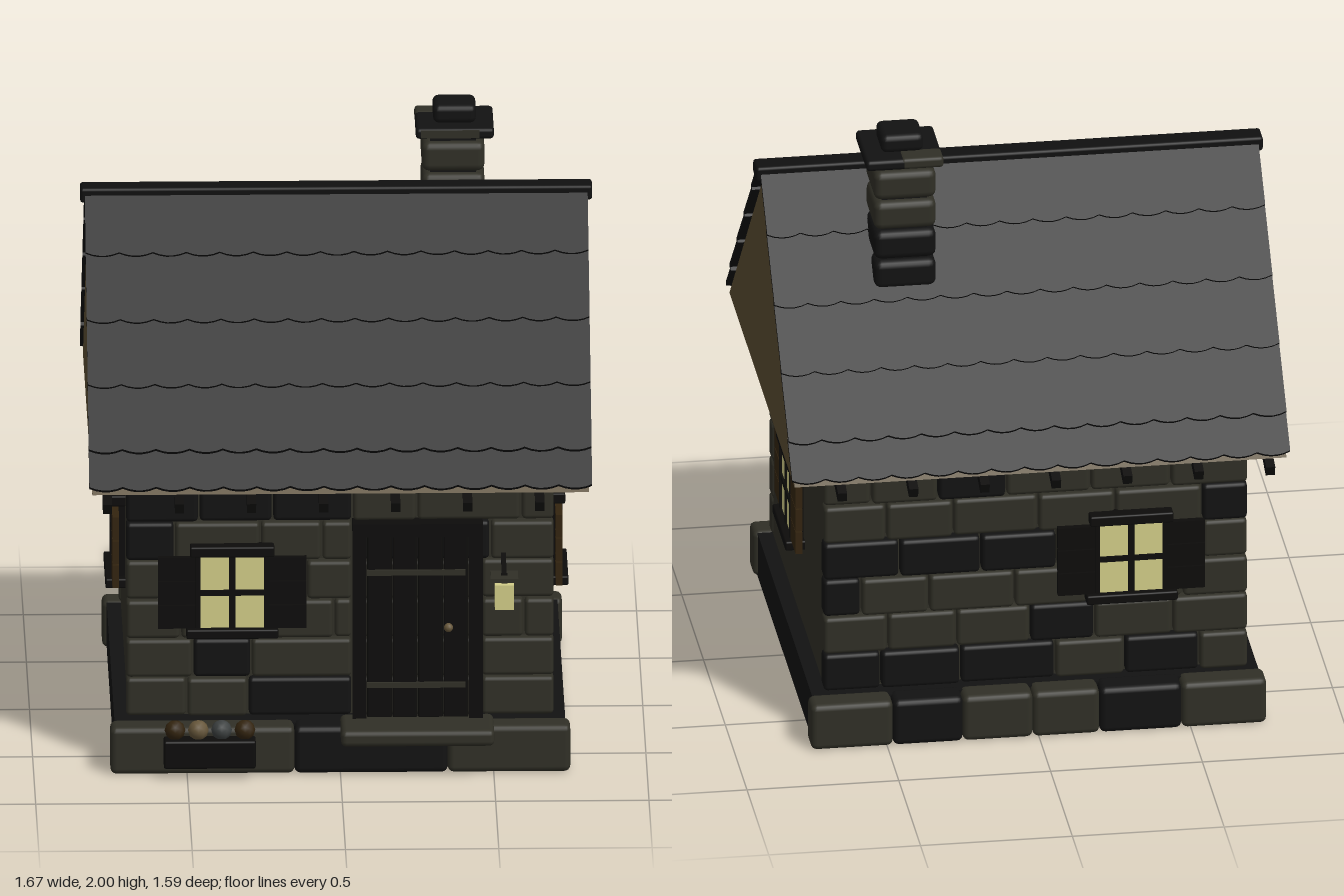
import * as THREE from 'three';
import { RoundedBoxGeometry } from 'three/addons/geometries/RoundedBoxGeometry.js';

const mat = (name, color) => {
  const m = new THREE.MeshStandardMaterial({ color });
  m.name = name;
  return m;
};

export function createModel() {
  const stone = mat('olive stone', 0x302f26);
  const darkStone = mat('dark stone', 0x121212);
  const tile = mat('roof tile', 0x101010);
  const plaster = mat('gable plaster', 0x5a4c31);
  const darkWood = mat('dark wood', 0x0d0c0b);
  const brown = mat('brown wood', 0x33240f);
  const glow = mat('warm glass', 0xd2cd88);
  const tan = mat('tan', 0x66563a);
  const grey = mat('grey', 0x3c4040);

  const root = new THREE.Group();
  root.name = 'cottage';
  const house = new THREE.Group();
  house.name = 'house';
  house.position.z = -0.02;
  root.add(house);

  let seed = 7;
  const rand = () => (seed = (seed * 16807) % 2147483647) / 2147483647;

  function add(parent, name, geo, material, x = 0, y = 0, z = 0) {
    const m = new THREE.Mesh(geo, material);
    m.name = name;
    m.position.set(x, y, z);
    parent.add(m);
    return m;
  }
  const box = (p, name, w, h, d, m, x, y, z) => add(p, name, new THREE.BoxGeometry(w, h, d), m, x, y, z);
  const block = (p, name, w, h, d, m, x, y, z, r = 0.014) =>
    add(p, name, new RoundedBoxGeometry(w, h, d, 2, r), m, x, y, z);

  // Foundation slab with rows of rounded stones front and back
  box(house, 'foundationCore', 1.47, 0.155, 1.3, darkStone, 0, 0.0775, 0);
  function foundationRow(name, edges, dark, z) {
    for (let i = 0; i < edges.length - 1; i++) {
      const w = edges[i + 1] - edges[i];
      block(house, name, w, 0.16, 0.1, dark.includes(i) ? darkStone : stone, edges[i] + w / 2, 0.08, z, 0.02);
    }
  }
  foundationRow('frontFoundationStone', [-0.75, -0.15, 0.35, 0.75], [1], 0.67);
  foundationRow('backFoundationStone', [-0.75, -0.47, -0.2, 0.02, 0.25, 0.48, 0.75], [1, 4], -0.67);

  // Wall core and stone courses, [x edges, dark stones] from the bottom up
  box(house, 'wallCore', 1.38, 0.8, 1.2, stone, 0, 0.57, 0);
  function course(name, edges, dark, row, z) {
    for (let i = 0; i < edges.length - 1; i++) {
      const w = edges[i + 1] - edges[i];
      block(house, name, w - 0.006, 0.129, 0.07, dark(i) ? darkStone : stone,
        edges[i] + w / 2, 0.237 + row * 0.1333, z + (rand() - 0.5) * 0.012);
    }
  }
  const frontCourses = [
    [[-0.7, -0.5, -0.3, 0.04, 0.46, 0.7], [2]],
    [[-0.7, -0.48, -0.29, 0.04, 0.46, 0.7], [1]],
    [[-0.7, -0.52, -0.22, -0.02, 0.04, 0.46, 0.6, 0.7], []],
    [[-0.7, -0.58, -0.36, -0.11, 0.04, 0.46, 0.7], []],
    [[-0.7, -0.54, -0.26, -0.06, 0.04, 0.49, 0.7], [0, 4]],
    [[-0.7, -0.46, -0.22, 0.04, 0.25, 0.59, 0.7], [0, 1, 2]],
  ];
  frontCourses.forEach(([edges, dark], r) => course('frontWallStone', edges, i => dark.includes(i), r, 0.6));
  for (let r = 0; r < 6; r++) {
    const edges = [-0.7];
    let x = -0.7 + 0.12 + rand() * 0.14;
    while (x < 0.58) {
      edges.push(x);
      x += 0.19 + rand() * 0.13;
    }
    edges.push(0.7);
    course('backWallStone', edges, () => rand() < 0.35, r, -0.605);
  }

  // Gable prism under the roof
  const tri = new THREE.Shape([[-0.75, 0.97], [0.75, 0.97], [0, 1.72]].map(p => new THREE.Vector2(...p)));
  const gable = add(house, 'gable', new THREE.ExtrudeGeometry(tri, { depth: 1.62, bevelEnabled: false }), plaster, -0.81);
  gable.rotation.y = Math.PI / 2;

  // Overlapping scalloped tile rows on both slopes
  const slope = Math.atan2(0.785, 0.75);
  function tileRow(length) {
    const n = 15, half = 0.82, step = (2 * half) / n;
    const s = new THREE.Shape();
    s.moveTo(-half, 0.012);
    for (let i = 0; i < n; i++) {
      const x = -half + i * step;
      s.quadraticCurveTo(x + step / 2, -0.014, x + step, 0.012);
    }
    s.lineTo(half, length);
    s.lineTo(-half, length);
    return new THREE.ExtrudeGeometry(s, { depth: 0.013, bevelEnabled: false, curveSegments: 5 });
  }
  const rowY = [0.985, 1.08, 1.25, 1.42, 1.595, 1.77];
  for (const side of [0, Math.PI]) {
    const half = new THREE.Group();
    half.name = side ? 'backRoof' : 'frontRoof';
    half.rotation.y = side;
    house.add(half);
    for (let i = 0; i < 5; i++) {
      const len = (rowY[i + 1] - rowY[i]) / Math.sin(slope) + (i < 4 ? 0.03 : 0);
      const z = 0.765 - (rowY[i] - 0.985) / Math.tan(slope);
      const lift = i ? 0.008 : 0;
      const row = add(half, 'tileRow', tileRow(len), tile, 0, rowY[i] + lift, z + lift);
      row.rotation.x = slope - Math.PI / 2 - 0.04;
    }
    // Rafter tails below the eaves
    for (let i = 0; i < 7; i++) {
      const t = box(half, 'rafterTail', 0.03, 0.035, 0.16, darkWood, (side ? -1 : 1) * (-0.76 + i * 0.235), 0.94, 0.655);
      t.rotation.x = 0.32;
    }
  }
  block(house, 'ridge', 1.67, 0.05, 0.08, tile, 0, 1.765, 0, 0.01);

  // Chimney of stacked stones with cap
  const chimney = new THREE.Group();
  chimney.name = 'chimney';
  chimney.position.set(0.385, 0, -0.232);
  house.add(chimney);
  [darkStone, darkStone, darkStone, stone, stone].forEach((m, i) =>
    block(chimney, 'chimneyStone', 0.205, 0.1, 0.205, m, 0, 1.405 + i * 0.107, 0, 0.025));
  box(chimney, 'chimneyCore', 0.15, 0.6, 0.15, darkStone, 0, 1.63, 0);
  block(chimney, 'chimneyCap', 0.255, 0.036, 0.255, darkStone, 0.005, 1.922, 0, 0.012);
  box(chimney, 'capFrontStone', 0.19, 0.026, 0.006, stone, -0.01, 1.922, 0.127);
  block(chimney, 'capCornerStone', 0.14, 0.038, 0.08, stone, -0.053, 1.923, -0.088, 0.012);
  block(chimney, 'chimneyPot', 0.14, 0.062, 0.14, darkStone, 0.005, 1.969, 0, 0.02);

  // Window with four panes, lintel, sill and plank shutters
  function addWindow(name, x, z, turn, shutterMat) {
    const g = new THREE.Group();
    g.name = name;
    g.position.set(x, 0.607, z);
    g.rotation.y = turn;
    house.add(g);
    box(g, 'frame', 0.225, 0.27, 0.05, darkWood, 0, 0, 0.005);
    for (const sx of [-1, 1]) {
      for (const sy of [-1, 1])
        box(g, 'pane', 0.092, 0.112, 0.006, glow, sx * 0.057, sy * 0.066, 0.031);
      for (let i = -1; i <= 1; i++)
        box(g, 'shutterPlank', 0.122, 0.078, 0.022, shutterMat, sx * 0.181, i * 0.082, 0.028);
      box(g, 'jamb', 0.014, 0.25, 0.04, darkWood, sx * 0.112, 0, 0.022);
    }
    box(g, 'mullion', 0.02, 0.25, 0.02, darkWood, 0, 0, 0.03);
    box(g, 'glazingBar', 0.21, 0.018, 0.02, darkWood, 0, 0, 0.03);
    block(g, 'lintel', 0.275, 0.036, 0.06, darkWood, 0, 0.142, 0.02, 0.006);
    block(g, 'sill', 0.3, 0.032, 0.07, darkWood, 0, -0.136, 0.025, 0.006);
  }
  addWindow('frontWindow', -0.352, 0.635, 0, darkWood);
  addWindow('backWindow', -0.31, -0.64, Math.PI, darkWood);
  addWindow('leftWindow', 0.695, 0, Math.PI / 2, brown);
  addWindow('rightWindow', -0.695, 0, -Math.PI / 2, brown);

  // Door
  const door = new THREE.Group();
  door.name = 'door';
  door.position.set(0.253, 0, 0.645);
  house.add(door);
  for (const s of [-1, 1]) box(door, 'doorPost', 0.045, 0.67, 0.06, darkWood, s * 0.19, 0.505, 0.005);
  box(door, 'doorLintel', 0.425, 0.045, 0.07, darkWood, 0, 0.82, 0.005);
  for (let i = 0; i < 4; i++)
    block(door, 'doorPlank', 0.081, 0.63, 0.04, darkWood, -0.1245 + i * 0.083, 0.487, 0, 0.006);
  for (const y of [0.672, 0.287]) box(door, 'strap', 0.32, 0.018, 0.01, stone, -0.005, y, 0.024);
  add(door, 'handle', new THREE.SphereGeometry(0.015, 10, 8), tan, 0.1, 0.485, 0.032);
  block(house, 'doorstep', 0.5, 0.055, 0.2, stone, 0.25, 0.148, 0.72, 0.018);

  // Hanging lantern on a bracket
  const lantern = new THREE.Group();
  lantern.name = 'lantern';
  lantern.position.set(0.533, 0, 0.775);
  house.add(lantern);
  box(lantern, 'lanternGlass', 0.062, 0.085, 0.062, glow, 0, 0.628, 0);
  box(lantern, 'lanternLid', 0.09, 0.014, 0.09, stone, 0, 0.69, 0);
  box(lantern, 'lanternNeck', 0.02, 0.03, 0.02, darkWood, 0, 0.685, 0);
  const arm = box(lantern, 'bracket', 0.016, 0.014, 0.16, darkWood, 0, 0.705, -0.075);
  arm.rotation.x = 0.27;

  // Planter with round blooms
  block(house, 'planter', 0.3, 0.095, 0.1, darkWood, -0.427, 0.085, 0.73, 0.008);
  [brown, tan, grey, brown].forEach((m, i) =>
    add(house, 'bloom', new THREE.IcosahedronGeometry(0.034, 1), m, -0.54 + i * 0.076, 0.158, 0.735));

  return root;
}
